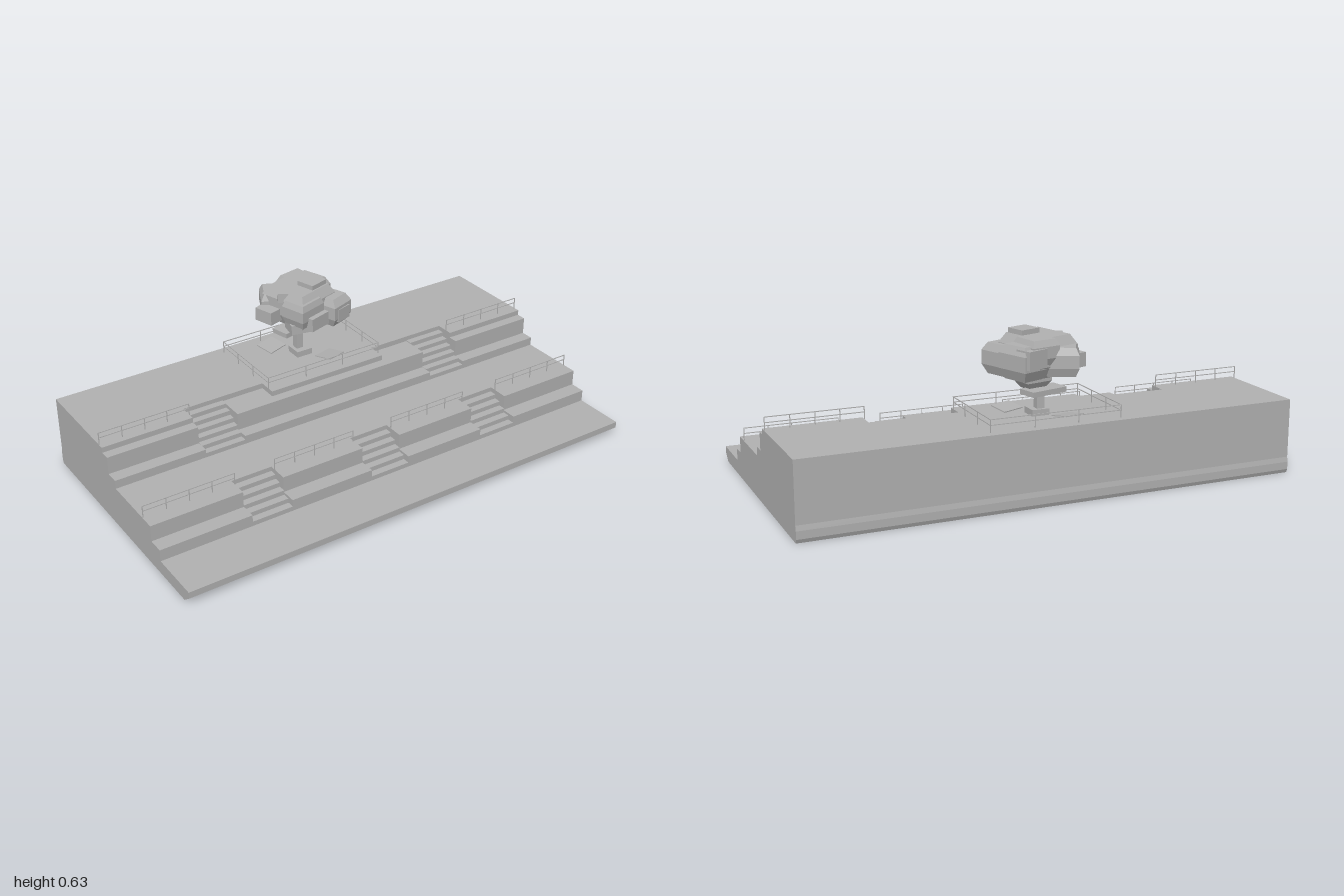
import * as THREE from 'three';

const stone = new THREE.MeshStandardMaterial({ color: 0xb0b0b0 });
stone.name = 'grey';

export function createModel() {
  const root = new THREE.Group();
  const group = (name, parent = root) => {
    const g = new THREE.Group();
    g.name = name;
    parent.add(g);
    return g;
  };
  const add = (parent, name, geo) => {
    const m = new THREE.Mesh(geo, stone);
    m.name = name;
    parent.add(m);
    return m;
  };
  const box = (parent, name, x, y, z, w, h, d) => {
    const m = add(parent, name, new THREE.BoxGeometry(w, h, d));
    m.position.set(x, y, z);
    return m;
  };

  // Stepped risers as [z, height above the riser]
  const flight = (z0, z1, y0, y1, n) => Array.from({ length: n }, (_, i) => [
    z0 + (z1 - z0) * i / (n - 1), y0 + (y1 - y0) * (i + 1) / n]);
  const lowerWall = [[0.326, 0.104], [0.262, 0.17]];
  const lowerStairs = flight(0.326, 0.175, 0.056, 0.17, 6);
  const upperWall = [[-0.018, 0.205], [-0.072, 0.277], [-0.113, 0.299]];
  const setBackWall = [[-0.018, 0.205], [-0.072, 0.277], [-0.19, 0.299]];
  const upperStairs = flight(-0.018, -0.19, 0.17, 0.299, 7);

  // Terraced ground: one extruded cross-section for each stretch of x
  const ground = group('terracedGround');
  const slab = (name, x0, x1, lower, upper) => {
    const pts = [[0.5, 0], [0.537, 0.03], [0.537, 0.056]];
    let y = 0.056;
    for (const [z, top] of [...lower, ...upper]) {
      pts.push([z, y], [z, top]);
      y = top;
    }
    pts.push([-0.533, y], [-0.533, 0.065], [-0.537, 0.045], [-0.537, 0.015], [-0.531, 0]);
    const shape = new THREE.Shape(pts.map(([z, h]) => new THREE.Vector2(-z, h)));
    const geo = new THREE.ExtrudeGeometry(shape, { depth: x1 - x0, bevelEnabled: false });
    geo.rotateY(Math.PI / 2).translate(x0, 0, 0);
    add(ground, name, geo);
  };
  const mirrored = (name, x0, x1, lower, upper) => {
    slab(name + 'Left', x0, x1, lower, upper);
    slab(name + 'Right', -x1, -x0, lower, upper);
  };
  mirrored('sideTerrace', 0.62, 1, lowerWall, upperWall);
  mirrored('sideStairs', 0.447, 0.62, lowerStairs, upperStairs);
  mirrored('innerTerrace', 0.265, 0.447, lowerWall, setBackWall);
  mirrored('platformTerrace', 0.087, 0.265, lowerWall, upperWall);
  slab('centreStairs', -0.087, 0.087, lowerStairs, upperWall);

  // Railings: two thin rails on posts, between two points on the ground
  const railing = (name, x0, z0, x1, z1, y, posts) => {
    const g = group(name);
    const len = Math.hypot(x1 - x0, z1 - z0);
    g.position.set((x0 + x1) / 2, y, (z0 + z1) / 2);
    g.rotation.y = -Math.atan2(z1 - z0, x1 - x0);
    for (const h of [0.028, 0.049]) box(g, 'rail', 0, h, 0, len, 0.003, 0.003);
    for (let i = 0; i < posts; i++) {
      box(g, 'post', -len / 2 + len * i / (posts - 1), 0.025, 0, 0.003, 0.05, 0.003);
    }
  };
  for (const s of [-1, 1]) {
    railing('upperRailing', s * 0.997, -0.14, s * 0.62, -0.14, 0.299, 5);
    railing('lowerOuterRailing', s * 0.997, 0.2, s * 0.62, 0.2, 0.17, 5);
    railing('lowerInnerRailing', s * 0.447, 0.2, s * 0.09, 0.2, 0.17, 5);
    railing('platformSideRailing', s * 0.265, -0.14, s * 0.265, -0.5, 0.299, 4);
  }
  railing('platformFrontRailing', -0.265, -0.14, 0.265, -0.14, 0.299, 4);
  railing('platformBackRailing', -0.265, -0.5, 0.265, -0.5, 0.299, 4);

  // Tree: planter, trunk, low branch and flared neck
  const tree = group('tree');
  box(tree, 'trunkBase', 0, 0.311, -0.325, 0.07, 0.026, 0.07);
  box(tree, 'trunk', -0.005, 0.375, -0.333, 0.03, 0.15, 0.03);
  box(tree, 'lowBranch', -0.005, 0.4, -0.37, 0.16, 0.02, 0.08).rotation.y = 0.25;

  // Tilted slabs beside the trunk
  for (const s of [-1, 1]) {
    const plate = box(tree, 'groundSlab', s * 0.08, 0.311, -0.325 + s * 0.1, 0.09, 0.004, 0.08);
    plate.rotation.set(s * -0.15, 0.3, 0);
  }

  // Foliage: faceted chunks, six-sided with narrowed top and bottom
  // [x, y, z, width, height, depth, turn, taper]
  const chunk = (x, y, z, w, h, d, turn, taper) => {
    const rows = [[-0.5, taper], [-0.2, 1], [0.25, 1], [0.5, taper]];
    const pts = rows.map(([v, r]) => new THREE.Vector2(r * Math.SQRT1_2, v));
    pts.unshift(new THREE.Vector2(0, -0.5));
    pts.push(new THREE.Vector2(0, 0.5));
    const geo = new THREE.LatheGeometry(pts, 4).rotateY(Math.PI / 4)
      .scale(w, h, d).toNonIndexed();
    geo.computeVertexNormals();
    const m = add(tree, 'foliage', geo);
    m.position.set(x, y, z);
    m.rotation.y = turn;
  };
  [
    [0, 0.535, -0.33, 0.2, 0.15, 0.22, 0.3, 0.8],
    [0.09, 0.525, -0.4, 0.12, 0.13, 0.14, 0.35, 0.75],
    [0.1, 0.51, -0.27, 0.11, 0.12, 0.16, 0.35, 0.75],
    [-0.06, 0.52, -0.41, 0.13, 0.11, 0.12, -0.45, 0.8],
    [-0.03, 0.535, -0.25, 0.13, 0.1, 0.11, 0.3, 0.85],
    [0.02, 0.45, -0.33, 0.11, 0.09, 0.09, 0.2, 0.65],
    [0.04, 0.56, -0.4, 0.12, 0.1, 0.13, 0.2, 0.8],
  ].forEach(c => chunk(...c));

  // Foliage blocks with square edges
  [
    [0.045, 0.603, -0.3, 0.085, 0.052, 0.08, 0.3],
    [-0.13, 0.505, -0.35, 0.07, 0.055, 0.085, 0.3],
    [-0.06, 0.585, -0.33, 0.07, 0.04, 0.09, -0.5],
    [0.08, 0.545, -0.45, 0.09, 0.07, 0.07, 0.35],
    [0, 0.5, -0.215, 0.1, 0.055, 0.07, 0.3],
    [0.12, 0.5, -0.22, 0.07, 0.055, 0.06, 0.3],
    [-0.04, 0.468, -0.26, 0.1, 0.04, 0.08, -0.2],
  ].forEach(([x, y, z, w, h, d, turn]) => {
    box(tree, 'foliageBlock', x, y, z, w, h, d).rotation.y = turn;
  });

  return root;
}
